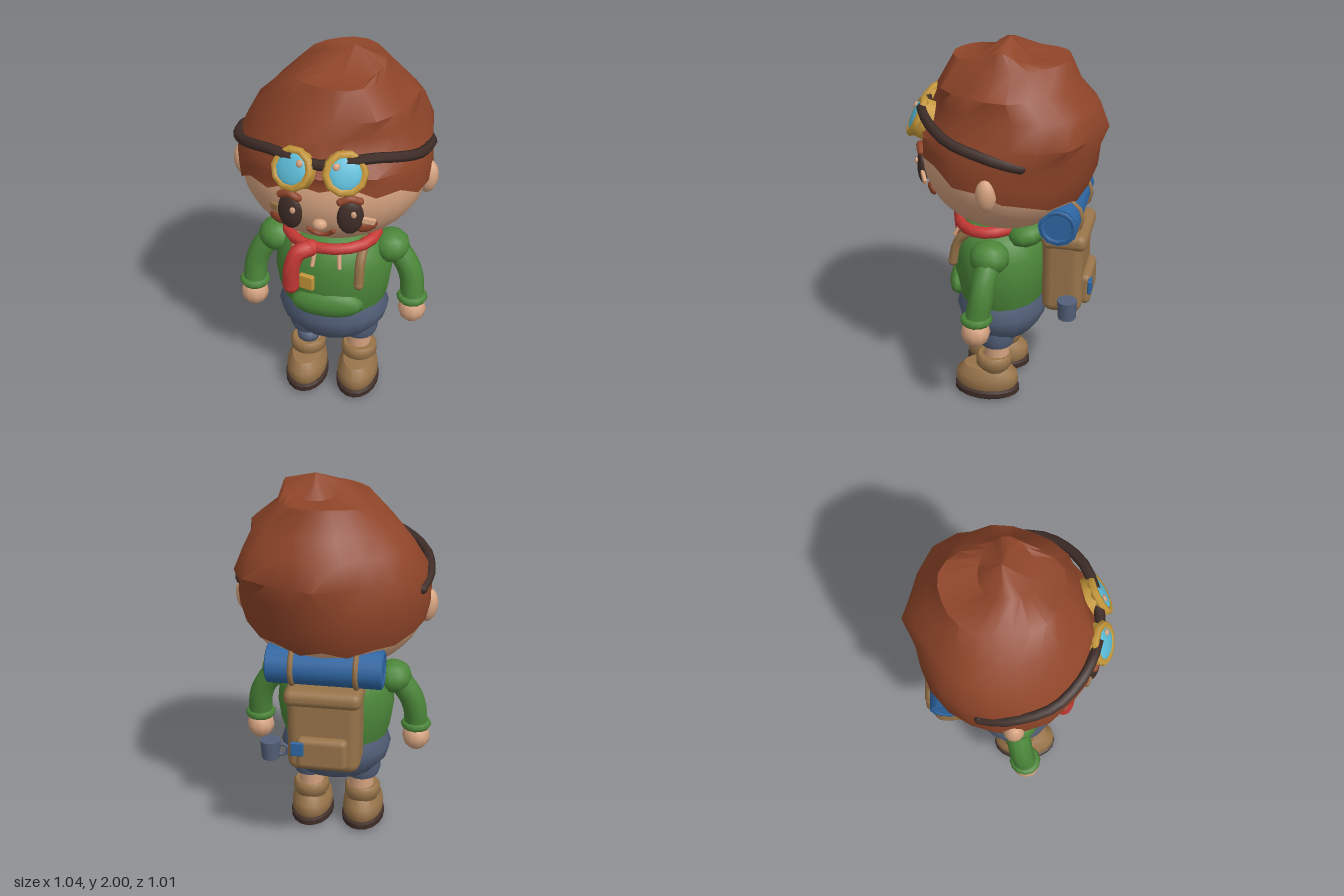
import * as THREE from 'three';
import { toCreasedNormals } from 'three/addons/utils/BufferGeometryUtils.js';
import { RoundedBoxGeometry } from 'three/addons/geometries/RoundedBoxGeometry.js';

const paint = (name, color) => {
  const m = new THREE.MeshStandardMaterial({ color });
  m.name = name;
  return m;
};

export function createModel() {
  const model = new THREE.Group();
  model.name = 'explorer';
  const skin = paint('skin', 0xd6a380), hairCol = paint('auburn', 0x8f4529), dark = paint('darkBrown', 0x3f2d28),
    gold = paint('gold', 0xc6983a), glass = paint('glass', 0x5cbbd6), green = paint('green', 0x4b8639),
    red = paint('red', 0xc83a36), slate = paint('slate', 0x536079), tan = paint('tan', 0x98744a), blue = paint('blue', 0x2e66a3);

  // Helpers
  const add = (name, geo, mat, pos = [0, 0, 0], rot = [0, 0, 0], scale = [1, 1, 1], parent = model) => {
    const m = new THREE.Mesh(geo, mat);
    m.name = name;
    m.position.set(...pos);
    m.rotation.set(...rot);
    m.scale.set(...scale);
    parent.add(m);
    return m;
  };
  const ball = (name, mat, pos, radii, parent = model, rot = [0, 0, 0], seg = 12) =>
    add(name, new THREE.SphereGeometry(1, seg, Math.max(6, seg - 4)), mat, pos, rot, radii, parent);
  const lathe = (name, mat, pts, pos, scale) =>
    add(name, toCreasedNormals(new THREE.LatheGeometry(pts.map(p => new THREE.Vector2(...p)), 18), 0.8), mat, pos, [0, 0, 0], scale);
  const tube = (name, mat, pts, r, n = 14, sides = 8) => {
    const curve = new THREE.CatmullRomCurve3(pts.map(p => new THREE.Vector3(...p)));
    add(name, new THREE.TubeGeometry(curve, n, r, sides), mat);
    for (const e of [0, pts.length - 1]) ball(name + 'End', mat, pts[e], [r, r, r], model, [0, 0, 0], 8);
  };
  const box = (name, mat, size, r, pos, rot) => add(name, new RoundedBoxGeometry(...size, 2, r), mat, pos, rot);

  // Head
  const HY = 1.38, HZ = 0.006, RX = 0.47, RY = 0.38, RZ = 0.434;
  ball('head', skin, [0, HY, HZ], [RX, RY, RZ], model, [0, 0, 0], 28);
  const onFace = (x, y, lift = 0) =>
    [x, y, HZ + RZ * Math.sqrt(1 - (x / RX) ** 2 - ((y - HY) / RY) ** 2) + lift];
  const yaw = x => Math.atan2(x / RX ** 2, Math.sqrt(1 - (x / RX) ** 2) / RZ);

  for (const s of [-1, 1]) {
    const side = s > 0 ? 'left' : 'right';
    ball(side + 'Ear', skin, [s * 0.47, 1.335, 0.02], [0.05, 0.088, 0.052], model, [0, 0, -s * 0.12], 12);
    ball(side + 'Eye', dark, onFace(s * 0.145, 1.32, 0.005), [0.065, 0.094, 0.03], model, [0, s * yaw(0.145), 0], 14);
    ball(side + 'EyeHighlight', skin, onFace(s * 0.145 + 0.02, 1.35, 0.033), [0.014, 0.018, 0.008]);
    ball(side + 'EyeGlint', skin, onFace(s * 0.145 - 0.022, 1.285, 0.03), [0.009, 0.01, 0.007]);
    tube(side + 'Brow', hairCol, [onFace(s * 0.1, 1.412, 0.012), onFace(s * 0.145, 1.428, 0.015), onFace(s * 0.19, 1.41, 0.012)], 0.019);
    ball(side + 'Cheek', hairCol, onFace(s * 0.215, 1.232, 0), [0.056, 0.034, 0.02], model, [0.25, s * yaw(0.215), 0], 10);
  }
  ball('nose', skin, onFace(0, 1.27, 0.012), [0.037, 0.03, 0.03]);
  tube('smile', hairCol, [[-0.06, 1.215], [-0.035, 1.19], [0, 1.18], [0.035, 1.19], [0.06, 1.215]].map(p => onFace(...p, 0.006)), 0.012);
  box('cheekPlaster', skin, [0.08, 0.035, 0.02], 0.008, onFace(0.225, 1.29, 0.02), [0, yaw(0.225), -0.4]);
  box('cheekMark', tan, [0.05, 0.04, 0.02], 0.008, onFace(-0.225, 1.32, 0.008), [0, -yaw(0.225), 0]);

  // Hair: rings of y, min x, max x, min z, max z above a jagged hairline that hugs the head
  const rings = [
    [1.56, -0.465, 0.465, -0.48, 0.435], [1.68, -0.39, 0.405, -0.45, 0.39], [1.77, -0.31, 0.40, -0.36, 0.34],
    [1.86, -0.2, 0.275, -0.31, 0.265], [1.89, -0.06, 0.25, -0.13, 0.14], [2.0, 0.089, 0.091, -0.021, -0.019],
  ];
  const N = 22, pos = [], idx = [];
  const hairPoint = (row, i) => {
    const k = i % N, a = (k / N) * Math.PI * 2, s = Math.sin(a), c = Math.cos(a);
    const slope = c > 0 ? 0.14 * c ** 1.7 : -0.13 * Math.abs(c) ** 0.7;
    const line = 1.33 + slope + (k % 2 ? 0.014 : -0.014) + 0.008 * Math.sin(k * 2.4);
    const dip = 1 - 0.09 * Math.max(0, Math.cos((a - 3.57) * 2)) ** 3;
    if (row < 2) {
      const y = line + row * 0.35 * (1.56 - line);
      const f = (1.03 + 0.015 * row) * Math.sqrt(1 - ((y - HY) / RY) ** 2);
      return [RX * f * s, y, HZ + RZ * f * c];
    }
    if (row === 2) return [0.482 * s, line + 0.68 * (1.56 - line), (c > 0 ? 0.447 : 0.462 * (1 + dip) / 2) * c];
    const [y, x0, x1, z0, z1] = rings[row - 3];
    const corner = row < 5 ? dip + 0.12 * Math.max(0, Math.cos((a - 2.2) * 1.5)) ** 6 : 1;
    const wave = row > 3 && row < 7 ? 1 + 0.025 * Math.sin(5 * a + row * 1.3 - 1.3) : 1;
    const tip = row === 3 && k === N / 2 ? 0.03 : 0;
    const lift = row === 6 ? 0.04 * Math.abs(c) : row === 7 ? 0.07 * s ** 4 : 0;
    return [(x0 + x1) / 2 + (x1 - x0) / 2 * s * corner * wave + tip, y + lift,
      (z0 + z1) / 2 + (z1 - z0) / 2 * c * corner * wave - tip];
  };
  for (let r = 0; r < rings.length + 3; r++) for (let i = 0; i <= N; i++) pos.push(...hairPoint(r, i));
  for (let r = 0; r < rings.length + 2; r++) for (let i = 0; i < N; i++) {
    const a = r * (N + 1) + i, b = a + 1, c = a + N + 1, d = c + 1;
    idx.push(a, b, d, a, d, c);
  }
  const hairGeo = new THREE.BufferGeometry();
  hairGeo.setAttribute('position', new THREE.Float32BufferAttribute(pos, 3));
  hairGeo.setIndex(idx);
  add('hair', toCreasedNormals(hairGeo, 0.8), hairCol);

  // Goggles and head strap
  const half = [[0.12, 1.62, 0.42], [0.25, 1.63, 0.375], [0.35, 1.605, 0.305], [0.435, 1.57, 0.2], [0.473, 1.53, 0.04], [0.473, 1.505, -0.05], [0.45, 1.48, -0.14]];
  tube('goggleStrap', dark, [...half.map(([x, y, z]) => [-x, y, z]).reverse(), [0, 1.6, 0.435], ...half], 0.026, 26, 6);
  for (const s of [-1, 1]) {
    const g = new THREE.Group();
    g.name = s > 0 ? 'leftGoggle' : 'rightGoggle';
    g.position.set(s * 0.122, 1.57, 0.435);
    g.rotation.set(-0.45, s * 0.28, 0, 'YXZ');
    add('housing', new THREE.CylinderGeometry(0.1, 0.108, 0.11, 10), gold, [0, 0, -0.045], [Math.PI / 2, 0, 0], [1, 1, 1], g);
    add('rim', new THREE.TorusGeometry(0.089, 0.021, 6, 10), gold, [0, 0, 0.01], [0, 0, 0], [1, 1, 1], g);
    ball('lens', glass, [0, 0, 0.016], [0.083, 0.083, 0.022], g);
    ball('glint', skin, [-s * 0.042, 0.035, 0.034], [0.018, 0.018, 0.01], g, [0, 0, 0], 8);
    model.add(g);
  }

  // Hoodie body, hood and pouch
  lathe('hoodie', green, [[0, 0.57], [0.27, 0.57], [0.295, 0.65], [0.31, 0.76], [0.3, 0.87], [0.26, 0.96], [0.17, 1.02], [0, 1.03]], [0, 0, 0.04], [1, 1, 0.81]);
  ball('hood', green, [0, 1.0, -0.115], [0.275, 0.088, 0.13], model, [0.25, 0, 0], 14);
  ball('pouch', green, [0, 0.65, 0.25], [0.195, 0.085, 0.065], model, [0, 0, 0], 12);
  box('chestPatch', gold, [0.08, 0.085, 0.03], 0.008, [-0.1, 0.795, 0.28], [0, -0.28, 0]);
  for (const s of [-1, 1]) {
    tube('drawstring', skin, [[s * 0.062, 0.97, 0.25], [s * 0.07, 0.905, 0.283]], 0.011, 3, 6);
    tube('shoulderStrap', tan, [[s * 0.18, 1.0, 0.15], [s * 0.17, 0.93, 0.235], [s * 0.167, 0.8, 0.27]], 0.026, 8, 6);
  }

  // Scarf with a hanging end
  add('scarf', new THREE.TorusGeometry(0.215, 0.031, 8, 18), red, [0, 1.012, 0.085], [Math.PI / 2 + 0.05, 0, 0], [1.06, 0.83, 1]);
  tube('scarfTail', red, [[-0.08, 1.0, 0.26], [-0.14, 0.98, 0.29], [-0.172, 0.9, 0.305], [-0.18, 0.775, 0.295]], 0.044, 12);

  // Arms
  for (const s of [-1, 1]) {
    const side = s > 0 ? 'left' : 'right';
    ball(side + 'Shoulder', green, [s * 0.3, 0.915, 0.045], [0.1, 0.087, 0.103]);
    tube(side + 'Sleeve', green, [[s * 0.32, 0.91, 0.04], [s * 0.385, 0.82, 0.055], [s * 0.415, 0.74, 0.065], [s * 0.425, 0.64, 0.08]], 0.063, 10, 10);
    add(side + 'Cuff', new THREE.TorusGeometry(0.06, 0.023, 6, 12), green, [s * 0.425, 0.625, 0.085], [Math.PI / 2, 0, 0]);
    ball(side + 'Hand', skin, [s * 0.427, 0.55, 0.09], [0.075, 0.078, 0.075], model, [0, 0, 0], 10);
  }

  // Shorts, legs and boots
  lathe('shorts', slate, [[0, 0.335], [0.12, 0.34], [0.21, 0.375], [0.275, 0.45], [0.297, 0.52], [0.275, 0.59], [0, 0.6]], [0, 0, 0.04], [1, 1, 0.81]);
  for (const s of [-1, 1]) {
    const side = s > 0 ? 'left' : 'right', x = s * 0.143;
    lathe(side + 'ShortsCuff', slate, [[0.05, 0.32], [0.085, 0.32], [0.1, 0.36], [0.1, 0.42]], [x, 0, 0.045], [1, 1, 1]);
    add(side + 'Leg', new THREE.CylinderGeometry(0.068, 0.068, 0.18, 12), skin, [x * 0.96, 0.3, 0.045]);
    lathe(side + 'BootShaft', tan, [[0.08, 0.15], [0.088, 0.18], [0.097, 0.19], [0.097, 0.235], [0.085, 0.25], [0.06, 0.25]], [x, 0, 0.06], [1, 1, 1]);
    lathe(side + 'BootFoot', tan, [[0.1, 0.045], [0.112, 0.08], [0.108, 0.13], [0.08, 0.175], [0, 0.19]], [x, 0, 0.1], [1, 1, 1.55]);
    lathe(side + 'Sole', dark, [[0, 0], [0.1, 0.004], [0.117, 0.02], [0.117, 0.048], [0.1, 0.06], [0, 0.06]], [x, 0, 0.1], [1, 1, 1.52]);
  }
  ball('kneePatch', slate, [-0.137, 0.28, 0.08], [0.064, 0.05, 0.058], model, [0, 0, 0], 10);

  // Backpack with bedroll and hanging cup
  box('backpack', tan, [0.37, 0.44, 0.21], 0.055, [0, 0.775, -0.3]);
  box('backpackLid', tan, [0.39, 0.09, 0.235], 0.04, [0, 0.97, -0.31]);
  box('backpackPocket', tan, [0.26, 0.17, 0.07], 0.03, [0, 0.68, -0.41]);
  box('pocketTag', blue, [0.065, 0.075, 0.02], 0.006, [0.12, 0.71, -0.443]);
  add('bedroll', new THREE.CylinderGeometry(0.1, 0.1, 0.57, 12), blue, [0, 1.108, -0.295], [0, 0, Math.PI / 2]);
  for (const s of [-1, 1]) {
    add('bedrollStrap', new THREE.TorusGeometry(0.1, 0.015, 6, 12), tan, [s * 0.16, 1.108, -0.295], [0, Math.PI / 2, 0]);
    add('bedrollEnd', new THREE.TorusGeometry(0.082, 0.018, 6, 12), blue, [s * 0.275, 1.108, -0.295], [0, Math.PI / 2, 0]);
  }
  add('cup', new THREE.CylinderGeometry(0.052, 0.046, 0.1, 10), slate, [0.275, 0.65, -0.35]);
  add('cupHandle', new THREE.TorusGeometry(0.03, 0.01, 6, 10), slate, [0.215, 0.65, -0.35]);

  return model;
}
